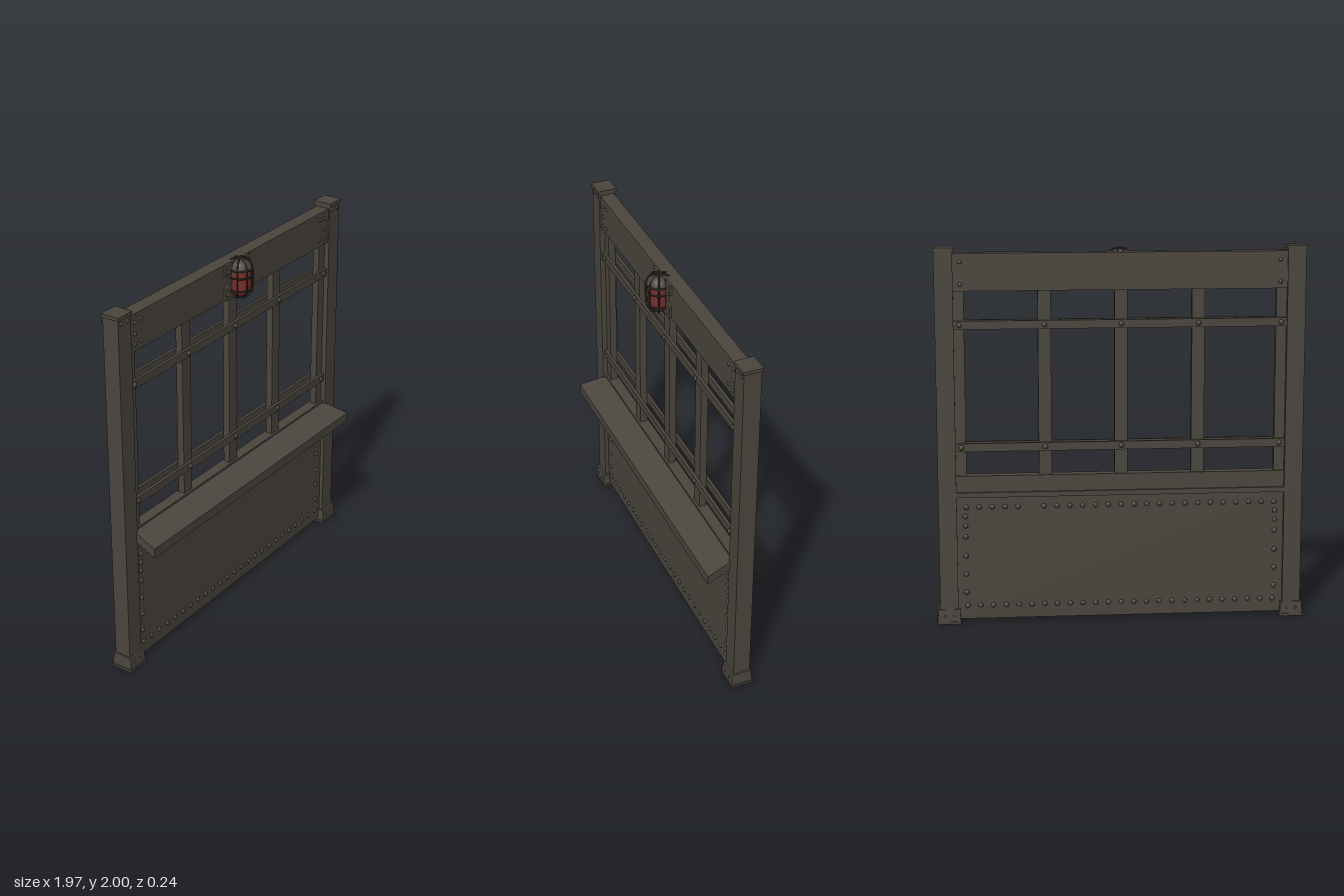
import * as THREE from 'three';

const mat = (name, color) => {
  const m = new THREE.MeshStandardMaterial({ color });
  m.name = name;
  return m;
};

export function createModel() {
  const iron = mat('brown iron', 0x4b463e);
  const darkIron = mat('dark cage iron', 0x33332f);
  const red = mat('red lamp glass', 0x7d302c);
  const root = new THREE.Group();
  root.name = 'barrier';

  const add = (name, geo, material = iron, parent = root) => {
    const m = new THREE.Mesh(geo, material);
    m.name = name;
    parent.add(m);
    return m;
  };
  // box given by its limits on each axis
  const box = (name, x0, x1, y0, y1, z0, z1, parent = root) => {
    const m = add(name, new THREE.BoxGeometry(x1 - x0, y1 - y0, z1 - z0), iron, parent);
    m.position.set((x0 + x1) / 2, (y0 + y1) / 2, (z0 + z1) / 2);
    return m;
  };
  // dome-headed rivet; side +1 points to the front, -1 to the back
  const dome = new THREE.SphereGeometry(1, 10, 4, 0, Math.PI * 2, 0, Math.PI / 2);
  const rivet = (x, y, z, side = 1, r = 0.014) => {
    const m = add('rivet', dome);
    m.position.set(x, y, z);
    m.rotation.x = side * Math.PI / 2;
    m.scale.set(r, r * 0.7, r);
  };

  // end posts with caps and flared feet
  for (const s of [-1, 1]) {
    const post = new THREE.Group();
    post.name = s > 0 ? 'leftPost' : 'rightPost';
    post.position.x = s * 0.918;
    root.add(post);
    box('postShaft', -0.048, 0.048, 0.01, 1.985, -0.106, -0.014, post);
    box('postCap', -0.053, 0.053, 1.982, 2.0, -0.112, -0.008, post);
    box('footPlate', -0.066, 0.066, 0, 0.014, -0.118, 0.005, post);
    const foot = box('footSleeve', -0.061, 0.061, 0.012, 0.08, -0.115, 0.002, post);
    const p = foot.geometry.attributes.position;
    for (let i = 0; i < p.count; i++) {
      if (p.getY(i) > 0) p.setXYZ(i, p.getX(i) * 0.93, p.getY(i), p.getZ(i) * 0.93);
    }
    foot.geometry.computeVertexNormals();
    for (const dx of [-0.024, 0.024]) {
      rivet(s * 0.918 + dx, 1.96, -0.014, 1, 0.011);
      rivet(s * 0.918 + dx, 0.045, 0, 1, 0.007);
      rivet(s * 0.918 + dx, 0.045, -0.113, -1, 0.007);
    }
  }

  // top beam and its end bolts
  box('topBeam', -0.872, 0.872, 1.775, 1.97, -0.098, -0.022);
  for (const s of [-1, 1]) {
    for (const y of [1.81, 1.865, 1.925]) {
      rivet(s * 0.832, y, -0.022, 1, 0.011);
      if (y !== 1.865) {
        rivet(s * 0.785, y + 0.005, -0.022, 1, 0.011);
        rivet(s * 0.832, y, -0.098, -1, 0.011);
      }
    }
  }

  // upright bars held between front and back rails
  for (const x of [-0.405, 0, 0.4]) box('uprightBar', x - 0.034, x + 0.034, 0.72, 1.78, -0.08, -0.042);
  for (const s of [-1, 1]) {
    const bar = box('edgeBar', -0.028, 0.028, 0.72, 1.78, -0.08, -0.042);
    bar.position.x = s * 0.843;
  }
  for (const y of [1.598, 0.953]) {
    box('frontRail', -0.872, 0.872, y - 0.022, y + 0.022, -0.042, -0.026);
    box('backRail', -0.872, 0.872, y - 0.022, y + 0.022, -0.096, -0.08);
    for (const x of [-0.84, -0.405, 0, 0.4, 0.84]) {
      rivet(x, y, -0.026);
      rivet(x, y, -0.096, -1);
    }
  }

  // lower riveted panel with sill
  const front = -0.036, back = -0.084;
  box('lowerPanel', -0.872, 0.872, 0.02, 0.7, back, front);
  box('sillBeam', -0.872, 0.872, 0.69, 0.8, -0.09, -0.03);
  box('sillLedge', -0.872, 0.872, 0.685, 0.712, -0.102, -0.022);
  for (const [z, side] of [[front, 1], [back, -1]]) {
    for (let i = 0; i < 25; i++) {
      const x = -0.82 + i * 1.64 / 24;
      if (i !== 19) rivet(x, 0.63, z, side);
      rivet(x, 0.092, z, side);
    }
    for (const s of [-1, 1]) {
      for (const y of [0.58, 0.53, 0.47, 0.365, 0.265, 0.165]) rivet(s * 0.825, y, z, side);
    }
  }

  // sloping shelf, wider at its front edge
  const shelf = box('shelf', -0.905, 0.905, 0.7, 0.752, -0.03, 0.118);
  const sp = shelf.geometry.attributes.position;
  for (let i = 0; i < sp.count; i++) {
    if (sp.getZ(i) < 0) {
      sp.setX(i, Math.sign(sp.getX(i)) * 0.877);
      sp.setY(i, sp.getY(i) + 0.037);
    }
  }
  shelf.geometry.computeVertexNormals();

  // lamp mounting plate with four bolted ears
  const lamp = new THREE.Group();
  lamp.name = 'warningLamp';
  lamp.position.set(0, 1.875, 0.003);
  root.add(lamp);
  const outline = [[-0.105, -0.1], [0.105, -0.1], [0.105, -0.035], [0.07, -0.02], [0.07, 0.02],
    [0.105, 0.035], [0.105, 0.093], [-0.105, 0.093], [-0.105, 0.035], [-0.07, 0.02],
    [-0.07, -0.02], [-0.105, -0.035]].map(([x, y]) => new THREE.Vector2(x, y));
  const plate = add('lampPlate', new THREE.ExtrudeGeometry(new THREE.Shape(outline),
    { depth: 0.014, bevelEnabled: false }), iron, lamp);
  plate.position.z = -0.026;
  for (const x of [-0.086, 0.086]) for (const y of [1.805, 1.928]) rivet(x, y, -0.009, 1, 0.012);

  // glass, hood and wire cage
  const v = (x, y) => new THREE.Vector2(x, y);
  add('lampGlass', new THREE.LatheGeometry([v(0, -0.1), v(0.025, -0.096), v(0.045, -0.082),
    v(0.057, -0.06), v(0.058, 0.05)], 24), red, lamp);
  add('lampHood', new THREE.LatheGeometry([v(0.058, 0.045), v(0.062, 0.045), v(0.062, 0.062),
    v(0.05, 0.085), v(0.03, 0.1), v(0, 0.105)], 24), iron, lamp);
  const wirePath = new THREE.CatmullRomCurve3([[0, -0.105], [0.035, -0.099], [0.06, -0.075],
    [0.066, -0.04], [0.066, 0.05], [0.055, 0.088], [0.03, 0.105], [0, 0.109]]
    .map(([x, y]) => new THREE.Vector3(x, y, 0)));
  const wire = new THREE.TubeGeometry(wirePath, 28, 0.0045, 6);
  for (let i = 0; i < 8; i++) {
    add('cageWire', wire, darkIron, lamp).rotation.y = (i + 0.5) * Math.PI / 4;
  }
  for (const y of [-0.055, 0.015, 0.055]) {
    const ring = add('cageRing', new THREE.TorusGeometry(0.065, 0.0045, 6, 28), darkIron, lamp);
    ring.rotation.x = Math.PI / 2;
    ring.position.y = y;
  }
  return root;
}
